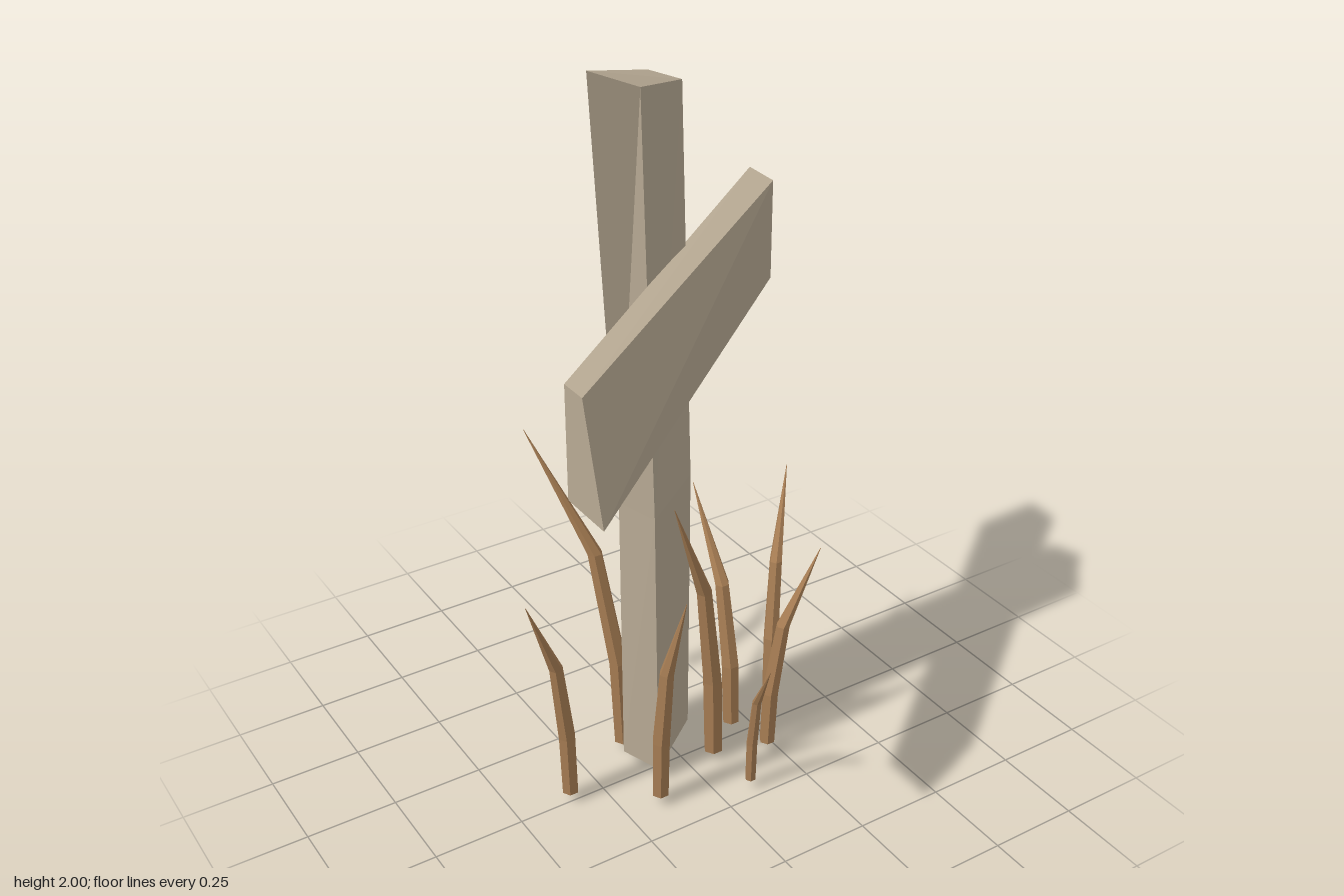
import * as THREE from 'three';

// Joins horizontal rings of [x, y, z] points, counter-clockwise from above, listed bottom to top
function loft(rings) {
  const pos = [];
  const tri = (a, b, c) => pos.push(...a, ...b, ...c);
  const n = rings[0].length;
  for (let k = 0; k + 1 < rings.length; k++) {
    const lo = rings[k], hi = rings[k + 1];
    for (let i = 0; i < n; i++) {
      const j = (i + 1) % n;
      tri(lo[i], lo[j], hi[j]);
      tri(lo[i], hi[j], hi[i]);
    }
  }
  const bottom = rings[0], top = rings[rings.length - 1];
  for (let i = 1; i + 1 < n; i++) {
    tri(bottom[0], bottom[i + 1], bottom[i]);
    tri(top[0], top[i], top[i + 1]);
  }
  const g = new THREE.BufferGeometry();
  g.setAttribute('position', new THREE.Float32BufferAttribute(pos, 3));
  g.computeVertexNormals();
  return g;
}

// Six-sided reed that rises straight and then bends towards its pointed tip
function reed(base, tip, radius) {
  const steps = [[0, 0, 1], [0.28, 0.04, 1.05], [0.64, 0.27, 0.85], [1, 1, 0.03]];
  return loft(steps.map(([rise, lean, thick]) => {
    const x = base[0] + (tip[0] - base[0]) * lean;
    const y = base[1] + (tip[1] - base[1]) * rise;
    const z = base[2] + (tip[2] - base[2]) * lean;
    return Array.from({ length: 6 }, (_, i) => {
      const a = (i / 6) * Math.PI * 2;
      return [x + Math.cos(a) * radius * thick, y, z - Math.sin(a) * radius * thick];
    });
  }));
}

export function createModel() {
  const group = new THREE.Group();
  const wood = new THREE.MeshStandardMaterial({ name: 'weatheredWood', color: 0xb8aa94, flatShading: true });
  const straw = new THREE.MeshStandardMaterial({ name: 'dryReed', color: 0xa87e54, flatShading: true });
  const add = (name, geometry, material) => {
    const m = new THREE.Mesh(geometry, material);
    m.name = name;
    group.add(m);
  };

  // Upright post, flaring and cut aslant at the top
  add('post', loft([
    [[-0.147, 0.04, -0.061], [-0.107, 0.04, 0.055], [0.078, 0.04, -0.085], [0.035, 0.04, -0.195]],
    [[-0.147, 0.84, -0.061], [-0.115, 0.84, 0.06], [0.085, 0.84, -0.085], [0.035, 0.84, -0.195]],
    [[-0.25, 2, 0.012], [-0.138, 1.955, 0.052], [0.072, 1.895, -0.106], [0.035, 1.9, -0.198]],
  ]), wood);

  // Crossbeam with one slanted end
  add('crossbeam', loft([
    [[-0.525, 1.19, 0.522], [0.505, 1.205, -0.335], [0.508, 1.208, -0.448], [-0.525, 1.19, 0.37]],
    [[-0.525, 1.472, 0.445], [0.505, 1.485, -0.335], [0.508, 1.487, -0.448], [-0.525, 1.472, 0.37]],
  ]), wood);

  // Dry reeds around the post: base, tip, radius
  const reeds = [
    [[0.237, 0.03, -0.36], [0.242, 0.55, -0.52], 0.018],
    [[-0.115, 0.03, -0.12], [-0.28, 0.975, -0.312], 0.025],
    [[-0.345, 0.03, -0.01], [-0.472, 0.69, 0.03], 0.023],
    [[0.385, 0.0, -0.12], [0.522, 0.65, -0.255], 0.022],
    [[0.188, 0.03, -0.03], [0.193, 0.705, -0.238], 0.025],
    [[0.075, 0.03, 0.05], [-0.082, 0.88, 0.1], 0.027],
    [[0.222, 0.03, 0.1], [0.375, 0.615, 0.107], 0.022],
    [[0.09, 0.03, 0.21], [0.063, 0.465, 0.325], 0.015],
    [[-0.147, 0.03, 0.13], [-0.1, 0.655, 0.185], 0.024],
  ];
  reeds.forEach(([base, tip, r], i) => add(`reed${i + 1}`, reed(base, tip, r), straw));

  return group;
}
